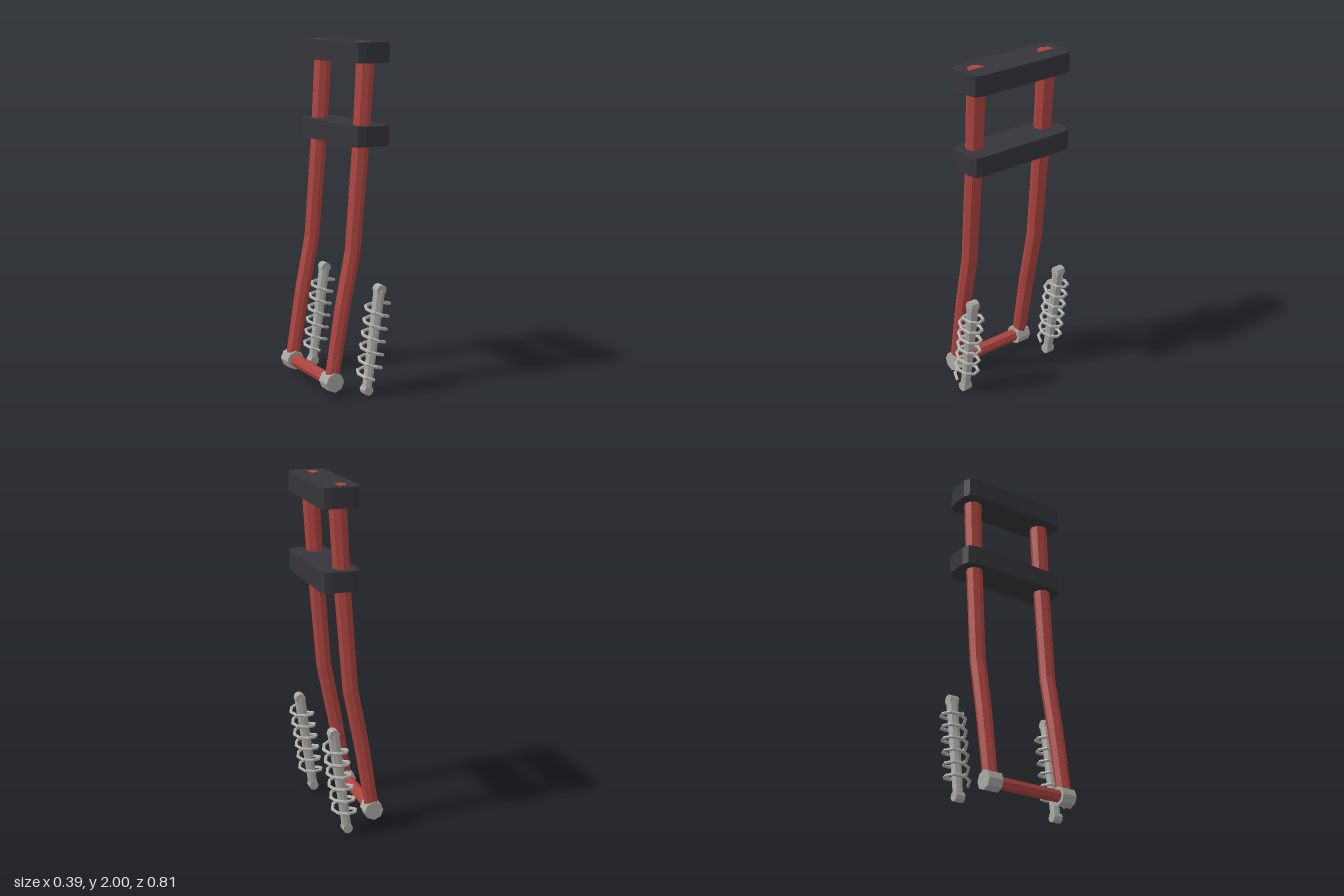
import * as THREE from 'three';

const mat = (name, color) => {
  const m = new THREE.MeshStandardMaterial({ color, flatShading: true });
  m.name = name;
  return m;
};

export function createModel() {
  const red = mat('red paint', 0xac443f);
  const dark = mat('dark grey', 0x36353b);
  const steel = mat('steel', 0xa9a9a5);
  const root = new THREE.Group();
  root.name = 'forkAssembly';

  const add = (parent, name, geo, material, x = 0, y = 0, z = 0) => {
    const mesh = new THREE.Mesh(geo, material);
    mesh.name = name;
    mesh.position.set(x, y, z);
    parent.add(mesh);
    return mesh;
  };
  // octagonal bar lying along z
  const zBar = (r, len) => new THREE.CylinderGeometry(r, r, len, 8).rotateX(Math.PI / 2);

  // clamp blocks with bevelled corners
  const w = 0.113, d = 0.346, c = 0.056, h = 0.114;
  const s = new THREE.Shape();
  s.moveTo(-w + c, -d);
  s.lineTo(w - c, -d).quadraticCurveTo(w, -d, w, -d + c);
  s.lineTo(w, d - c).quadraticCurveTo(w, d, w - c, d);
  s.lineTo(-w + c, d).quadraticCurveTo(-w, d, -w, d - c);
  s.lineTo(-w, -d + c).quadraticCurveTo(-w, -d, -w + c, -d);
  const block = new THREE.ExtrudeGeometry(s, { depth: h, bevelEnabled: false, curveSegments: 2 })
    .rotateX(-Math.PI / 2);
  add(root, 'upperClamp', block, dark, 0.078, 1.997 - h);
  add(root, 'lowerClamp', block, dark, 0.078, 1.425);

  // bent, tapering leg: rings of a cylinder moved onto the path [x, y, radius, tilt]
  const path = [
    [-0.14, 0.085, 0.041, 0.17],
    [-0.07, 0.5, 0.045, 0.185],
    [-0.003, 0.83, 0.046, 0.14],
    [0.046, 1.43, 0.049, 0.07],
    [0.08, 1.997, 0.054, 0.06],
  ];
  const legGeo = new THREE.CylinderGeometry(1, 1, 4, 8, 4);
  const p = legGeo.attributes.position;
  for (let i = 0; i < p.count; i++) {
    const [x, y, r, tilt] = path[Math.round(p.getY(i) + 2)];
    const k = p.getX(i) * r;
    p.setXYZ(i, x + k * Math.cos(tilt), y - k * Math.sin(tilt), p.getZ(i) * r);
  }
  legGeo.computeVertexNormals();

  // axle between the leg ends
  add(root, 'axle', zBar(0.037, 0.45), red, -0.138, 0.086);

  // coil spring path: six turns around the damper
  class Coil extends THREE.Curve {
    getPoint(t, target = new THREE.Vector3()) {
      const a = -t * 6 * Math.PI * 2;
      return target.set(0.068 * Math.sin(a), 0.075 + 0.45 * t, 0.068 * Math.cos(a));
    }
  }
  const coilGeo = new THREE.TubeGeometry(new Coil(), 48, 0.01, 6);
  const coilSteel = mat('spring steel', 0xb2b2af);
  coilSteel.side = THREE.DoubleSide;

  const dx = 0.081, dy = 0.58, len = Math.hypot(dx, dy);
  for (const side of [1, -1]) {
    const label = side > 0 ? 'front' : 'rear';
    add(root, label + 'Leg', legGeo, red, 0, 0, side * 0.246);
    add(root, label + 'Hub', zBar(0.057, 0.09), steel, -0.138, 0.086, side * 0.245);

    // damper and spring, leaning with the leg
    const shock = new THREE.Group();
    shock.name = label + 'Shock';
    shock.position.set(0.045, 0.03, side * 0.328);
    shock.rotation.z = -Math.atan2(dx, dy);
    root.add(shock);
    add(shock, 'damper', new THREE.CylinderGeometry(0.034, 0.028, len, 8), steel, 0, len / 2);
    add(shock, 'lowerEye', zBar(0.03, 0.056), steel);
    add(shock, 'upperEye', zBar(0.031, 0.056), steel, 0, len);
    add(shock, 'coilSpring', coilGeo, coilSteel);
  }
  return root;
}
